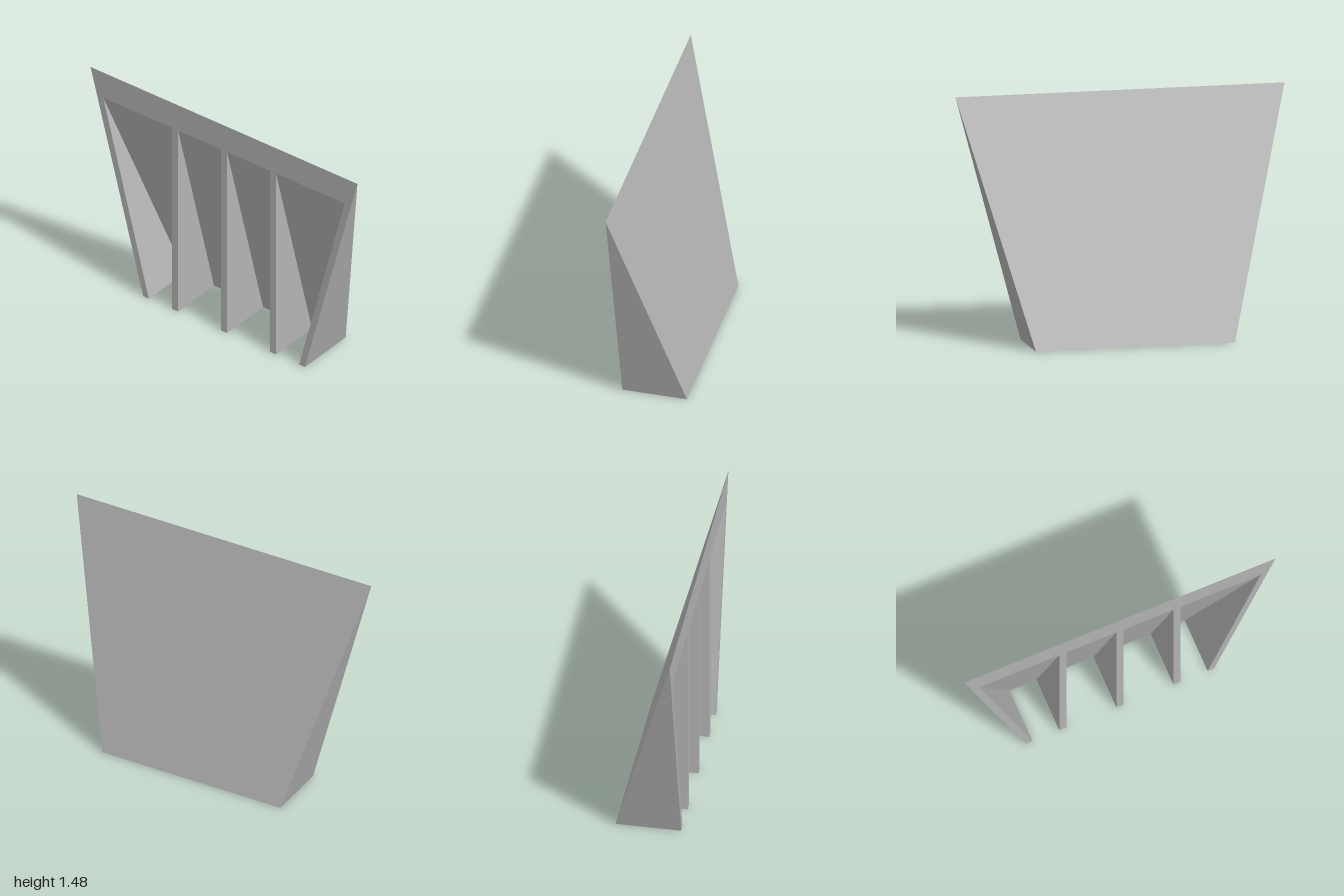
import * as THREE from 'three';

const HEIGHT = 1.475, LIP = 1.295, DEPTH = 0.197;
const INNER_BACK = -DEPTH + 2 * DEPTH * (HEIGHT - LIP) / HEIGHT;

// Half width of the tapered outline, and of the cavity, at height y
const outer = y => 0.605 + (1 - 0.605) * y / HEIGHT;
const inner = y => 0.563 + (0.905 - 0.563) * y / LIP;

// Spans a side profile of [z, y] points across x, from xLow(y) to xHigh(y)
function spanProfile(profile, xLow, xHigh) {
  const shape = new THREE.Shape(profile.map(([z, y]) => new THREE.Vector2(-z, y)));
  const geometry = new THREE.ExtrudeGeometry(shape, { depth: 1, bevelEnabled: false });
  geometry.rotateY(Math.PI / 2);
  const p = geometry.attributes.position;
  for (let i = 0; i < p.count; i++) {
    const y = p.getY(i);
    p.setX(i, THREE.MathUtils.lerp(xLow(y), xHigh(y), p.getX(i)));
  }
  geometry.computeVertexNormals();
  return geometry;
}

export function createModel() {
  const group = new THREE.Group();
  group.name = 'ribbedBracket';
  const grey = new THREE.MeshStandardMaterial({ color: 0xb4b4b4 });
  grey.name = 'grey';

  const add = (name, geometry) => {
    const mesh = new THREE.Mesh(geometry, grey);
    mesh.name = name;
    group.add(mesh);
  };

  // Sloping back plate with a vertical lip along its top
  const plate = [[-DEPTH, 0], [INNER_BACK, 0], [DEPTH, LIP], [DEPTH, HEIGHT]];
  add('backPlate', spanProfile(plate, y => -outer(y), outer));

  // Triangular webs filling the space in front of the plate
  const web = [[INNER_BACK, 0], [DEPTH, 0], [DEPTH, LIP]];
  add('leftWall', spanProfile(web, inner, outer));
  add('rightWall', spanProfile(web, y => -outer(y), y => -inner(y)));
  [-0.367, 0, 0.367].forEach((x, i) => {
    add(`rib${i + 1}`, spanProfile(web, () => x - 0.023, () => x + 0.023));
  });

  return group;
}
